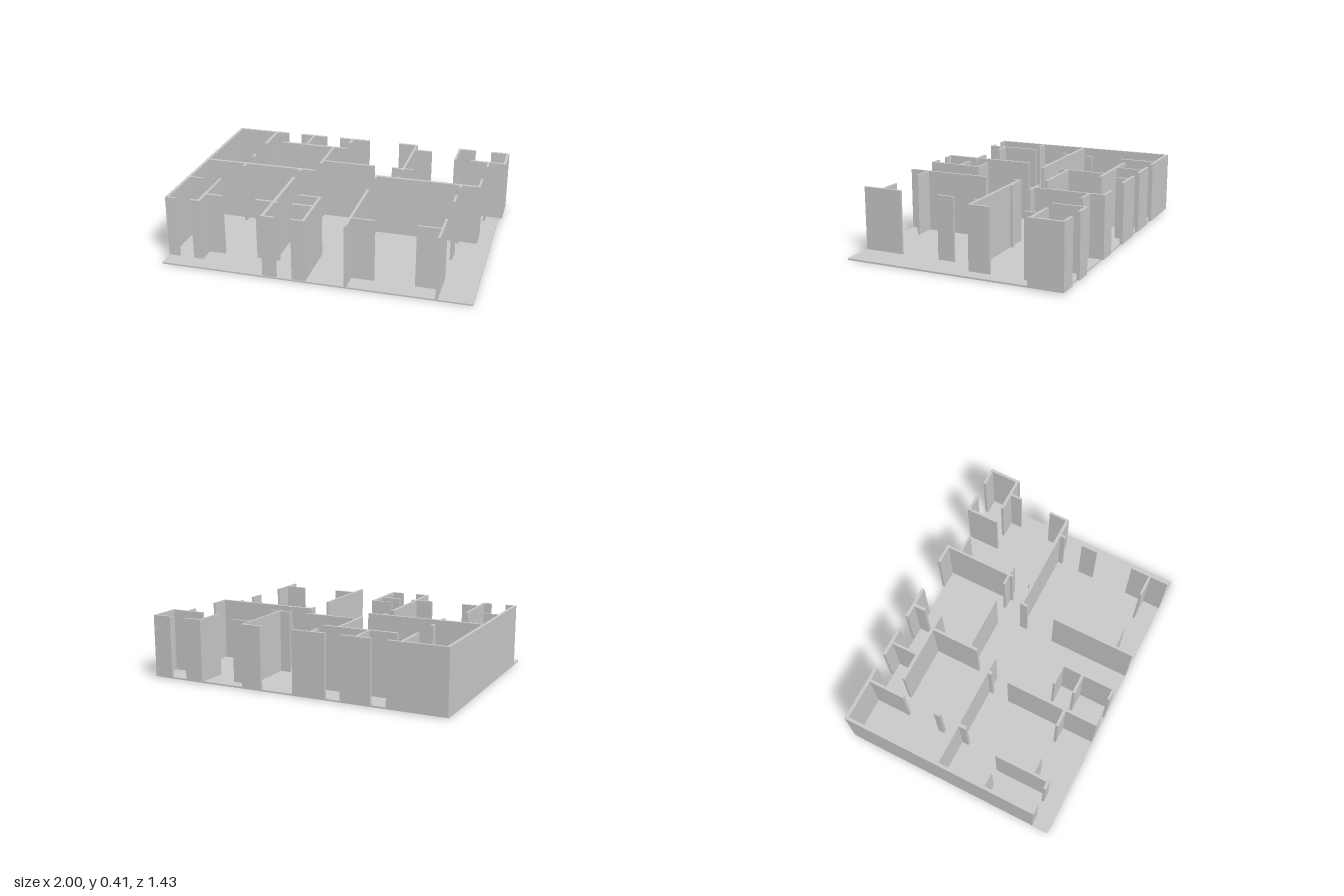
import * as THREE from 'three';

const FLOOR = 0.01, TOP = 0.415;

// Each wall is a footprint: [xMin, xMax, zMin, zMax]
const WALLS = {
  leftOuterWall: [
    [-1, -0.98, -0.715, 0.605], [-0.98, -0.93, 0.59, 0.605], [-0.98, -0.885, 0.25, 0.265],
  ],
  backOuterWall: [
    [-0.98, -0.62, -0.715, -0.695], [-0.52, -0.325, -0.715, -0.695],
    [-0.225, -0.005, -0.715, -0.695], [0.215, 0.335, -0.715, -0.697],
    [0.645, 0.765, -0.72, -0.702], [0.875, 0.98, -0.72, -0.702],
  ],
  backLeftPartition: [
    [-0.72, -0.70, -0.695, -0.455], [-0.43, -0.415, -0.695, -0.525],
    [-0.605, -0.115, -0.525, -0.505], [-0.14, -0.12, -0.695, -0.62],
    [-0.23, -0.212, -0.505, -0.187], [-0.212, 0.145, -0.255, -0.237],
    [-0.72, -0.70, -0.235, -0.19],
  ],
  backRightPartition: [
    [0.335, 0.35, -0.715, -0.22], [0.35, 0.47, -0.62, -0.605],
    [0.265, 0.335, -0.255, -0.24], [0.35, 0.41, -0.255, -0.24],
    [0.645, 0.66, -0.702, -0.50],
  ],
  rightCornerWall: [
    [0.982, 1, -0.72, -0.50], [0.76, 0.982, -0.525, -0.507], [0.875, 0.89, -0.507, -0.43],
  ],
  middleLeftPartition: [
    [-0.98, -0.215, -0.075, -0.055], [-0.72, -0.70, -0.055, -0.007], [-0.33, -0.308, -0.055, -0.03],
  ],
  middleRightPartition: [
    [0.19, 0.885, -0.09, -0.07], [0.19, 0.205, -0.07, -0.037],
    [0.335, 0.35, -0.105, -0.09], [0.87, 0.885, -0.21, -0.09],
    [0.75, 0.765, -0.07, -0.037], [0.75, 0.765, 0.09, 0.2],
  ],
  frontLeftPartition: [
    [-0.785, -0.768, 0.235, 0.605], [-0.83, -0.785, 0.588, 0.605], [-0.768, -0.66, 0.48, 0.498],
  ],
  frontMiddlePartition: [
    [-0.33, -0.31, 0.085, 0.71], [-0.31, -0.24, 0.695, 0.71],
    [-0.44, -0.33, 0.48, 0.498], [-0.31, -0.29, 0.48, 0.498],
    [-0.07, -0.053, 0.343, 0.71], [-0.14, -0.07, 0.695, 0.71],
    [-0.2, -0.07, 0.343, 0.358], [-0.2, -0.07, 0.48, 0.498],
  ],
  frontRightPartition: [
    [0.19, 0.207, 0.155, 0.715], [0.207, 0.35, 0.58, 0.594],
    [0.75, 0.765, 0.455, 0.715], [0.605, 0.75, 0.58, 0.594],
  ],
};

export function createModel() {
  const material = new THREE.MeshStandardMaterial({ color: 0xcccccc });
  const model = new THREE.Group();
  model.name = 'floorPlan';

  const slab = (name, [x0, x1, z0, z1], y0, y1) => {
    const mesh = new THREE.Mesh(new THREE.BoxGeometry(x1 - x0, y1 - y0, z1 - z0), material);
    mesh.position.set((x0 + x1) / 2, (y0 + y1) / 2, (z0 + z1) / 2);
    mesh.name = name;
    return mesh;
  };

  // Thin base plate
  model.add(slab('floor', [-1, 0.975, -0.697, 0.715], 0, FLOOR));

  // Full-height walls, grouped by area of the plan
  for (const [name, footprints] of Object.entries(WALLS)) {
    const group = new THREE.Group();
    group.name = name;
    footprints.forEach((f, i) => group.add(slab(`${name}Section${i + 1}`, f, FLOOR, TOP)));
    model.add(group);
  }
  return model;
}
